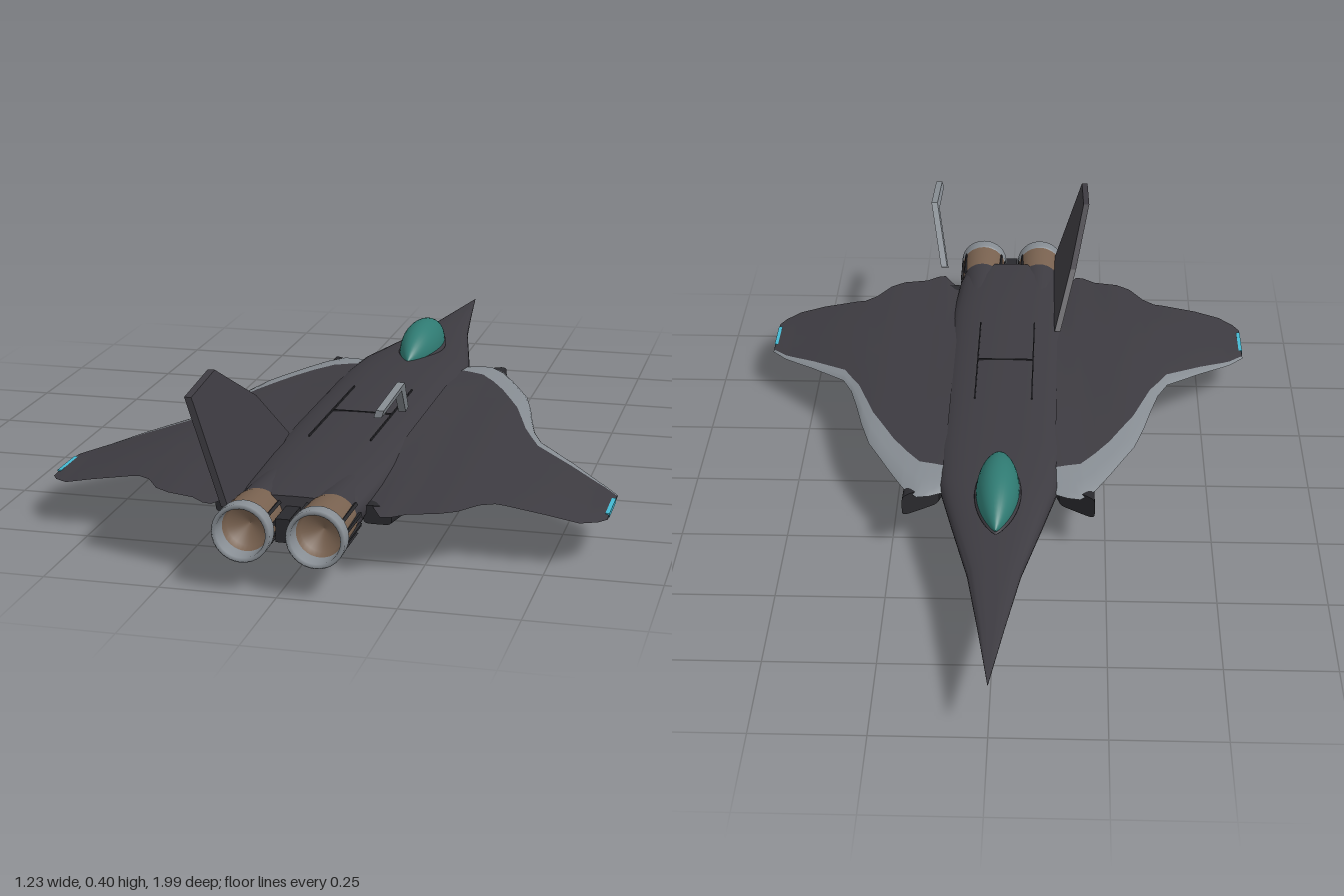
import * as THREE from 'three';
import { toCreasedNormals } from 'three/addons/utils/BufferGeometryUtils.js';

const mat = (name, color, side = THREE.FrontSide) => {
  const m = new THREE.MeshStandardMaterial({ color, side });
  m.name = name;
  return m;
};

// Surface through rows of points; every row has the same count
function loft(rows, flip = false, crease = 0.6) {
  const n = rows[0].length, idx = [];
  for (let r = 0; r < rows.length - 1; r++) {
    for (let i = 0; i < n - 1; i++) {
      const a = r * n + i, b = a + 1, c = a + n, d = c + 1;
      if (flip) idx.push(a, c, b, b, c, d);
      else idx.push(a, b, c, b, d, c);
    }
  }
  const g = new THREE.BufferGeometry();
  g.setAttribute('position', new THREE.Float32BufferAttribute(rows.flat(2), 3));
  g.setIndex(idx);
  return toCreasedNormals(g, crease);
}

// Rounded cross-section in the xy plane; p shapes the corners, skew slants it in z
function ring(z, cx, w, top, bottom, p, skew = 0, n = 32) {
  const pow = v => Math.sign(v) * Math.abs(v) ** p;
  const cy = (top + bottom) / 2, h = (top - bottom) / 2;
  return Array.from({ length: n + 1 }, (_, i) => {
    const a = (i % n) / n * Math.PI * 2;
    const dx = w * pow(Math.cos(a));
    return [cx + dx, cy + h * pow(Math.sin(a)), z + skew * dx];
  });
}

// Piecewise linear lookup
function lerpTable(table, x) {
  for (let i = 1; i < table.length; i++) {
    const [x0, y0] = table[i - 1], [x1, y1] = table[i];
    if (x <= x1) return y0 + (y1 - y0) * Math.max(0, (x - x0) / (x1 - x0));
  }
  return table[table.length - 1][1];
}

// Wing shape as functions of the distance from the centre line
const LEAD = [[.13, -.27], [.16, -.285], [.19, -.29], [.225, -.25], [.26, -.18], [.32, -.05], [.345, .04], [.365, .13], [.385, .21], [.41, .27], [.5, .36], [.58, .44], [.615, .485]];
const SEAM = [[.13, -.18], [.19, -.16], [.225, -.11], [.26, -.05], [.32, .08], [.365, .22], [.41, .315], [.5, .39], [.58, .455], [.615, .495]];
const TRAIL = [[.13, .78], [.15, .8], [.18, .86], [.2, .855], [.23, .83], [.29, .815], [.325, .79], [.36, .735], [.39, .712], [.5, .708], [.565, .70], [.6, .67], [.615, .645]];
const MID = [[.13, .138], [.2, .137], [.3, .139], [.37, .135], [.43, .129], [.52, .112], [.57, .1], [.615, .094]];
const HALF = [[.13, .03], [.2, .024], [.3, .016], [.43, .008], [.6, .005], [.615, .004]];

function wingPart(side, edgeStrip) {
  const xs = [...new Set([...LEAD, ...TRAIL].map(p => p[0]))].sort((a, b) => a - b);
  xs.push(.616);
  const rows = xs.map((x, k) => {
    const l = lerpTable(LEAD, x), s = lerpTable(SEAM, x), t = lerpTable(TRAIL, x);
    const h = k === xs.length - 1 ? 0 : lerpTable(HALF, x), y = lerpTable(MID, x);
    const pt = (z, up) => {
      const f = (z - l) / (t - l);
      const thick = Math.max(0, Math.min(1, Math.sqrt(Math.max(0, f) / .2), (1 - f) / .3));
      return [side * x, y + up * h * thick, z];
    };
    const zs = edgeStrip
      ? [0, .15, .5, 1].map(f => l + (s - l) * f)
      : [0, .2, .4, .6, .8, 1].map(f => s + (t - s) * f);
    const upper = zs.map(z => pt(z, 1)), lower = zs.map(z => pt(z, -1));
    // wrap around the leading edge for the strip, around the trailing edge for the panel
    return edgeStrip ? [...lower.reverse(), ...upper.slice(1)] : [...upper, ...lower.reverse().slice(1)];
  });
  return loft(rows, side < 0, .8);
}

// Canted plate from an outline of (z, y) points
function cantedPlate(outline, side, thickness) {
  const shape = new THREE.Shape(outline.map(([z, y]) => new THREE.Vector2(-z, y)));
  const g = new THREE.ExtrudeGeometry(shape, { depth: thickness, bevelEnabled: false });
  const p = g.attributes.position;
  for (let i = 0; i < p.count; i++) {
    const u = p.getX(i), y = p.getY(i), w = p.getZ(i);
    p.setXYZ(i, side * (.127 + (y - .163) * .32) + w - thickness / 2, y, -u);
  }
  g.computeVertexNormals();
  return g;
}

export function createModel() {
  const model = new THREE.Group();
  const hull = mat('charcoal hull', 0x3d3b41);
  const dark = mat('dark fittings', 0x29292d);
  const grey = mat('light grey edge', 0x868c92, THREE.DoubleSide);
  const teal = mat('teal canopy', 0x2f7a72);
  const copper = mat('burnt copper', 0x78614f, THREE.DoubleSide);
  const cyan = mat('cyan light', 0x45b9d2);

  const add = (name, geo, material, x = 0, y = 0, z = 0, parent = model) => {
    const m = new THREE.Mesh(geo, material);
    m.name = name;
    m.position.set(x, y, z);
    parent.add(m);
    return m;
  };
  const box = (name, w, h, d, material, x, y, z) =>
    add(name, new THREE.BoxGeometry(w, h, d), material, x, y, z);

  // Fuselage with needle nose: z, half width, top, bottom
  const body = [[-1, 0, .132, .132], [-.8, .029, .143, .122], [-.6, .06, .153, .112], [-.4, .105, .165, .102],
    [-.25, .138, .175, .095], [-.1, .15, .181, .088], [.3, .152, .183, .085], [.6, .15, .182, .085],
    [.8, .137, .178, .088], [.87, .125, .172, .095], [.87, 0, .13, .13]];
  add('fuselage', loft(body.map(([z, w, t, b]) => ring(z, 0, w, t, b, .75))), hull);

  // Canopy: pointed lens
  const lens = [];
  for (let i = 0; i <= 24; i++) {
    const t = i / 12 - 1;
    lens.push(new THREE.Vector2(Math.max(0, 1 - t * t) ** .85, t));
  }
  const canopyGeo = new THREE.LatheGeometry(lens, 32);
  canopyGeo.rotateX(Math.PI / 2).scale(.05, .063, .168);
  add('canopy', canopyGeo, teal, 0, .177, -.322);
  add('canopySill', canopyGeo.clone().scale(1.08, .35, 1.03), hull, 0, .17, -.322);

  for (const s of [1, -1]) {
    // Wings with pale leading edges and tip lights
    add('wing', wingPart(s, false), hull);
    add('wingLeadingEdge', wingPart(s, true), grey);
    box('wingTipLight', .009, .009, .1, cyan, s * .612, .095, .57);

    // Intake trunks under the wing roots
    const trunk = [[-.265, 0, .13, .09], [-.265, .042, .142, .088], [-.1, .06, .14, .08], [.3, .06, .14, .078],
      [.6, .055, .14, .085], [.8, .03, .14, .1], [.8, 0, .12, .12]];
    add('intakeTrunk', loft(trunk.map(([z, w, t, b]) =>
      ring(z, s * (z < -.2 ? .182 : .16), w, t, b, .35, z < -.2 ? -s * .7 : 0))), dark);
    box('bellyFitting', .02, .02, .05, dark, s * .133, .073, .1);

    // Engine: housing, copper nozzle, pale rim, petals
    const engine = new THREE.Group();
    engine.name = 'engine';
    engine.position.set(s * .078, .125, 0);
    model.add(engine);
    const turn = (name, pts, material) => {
      const g = new THREE.LatheGeometry(pts.map(p => new THREE.Vector2(...p)), 32);
      add(name, g.rotateX(Math.PI / 2), material, 0, 0, 0, engine);
    };
    turn('housing', [[.03, .6], [.05, .7], [.054, .86]], hull);
    turn('nozzle', [[.05, .83], [.056, .87], [.059, .955]], copper);
    turn('nozzleRim', [[.059, .95], [.062, .955], [.062, .985], [.058, .99], [.052, .985], [.05, .95]], grey);
    turn('nozzleInterior', [[.051, .955], [.046, .93], [0, .915]], copper);
    for (let i = 0; i < 16; i++) {
      const a = (i + .5) / 16 * Math.PI * 2;
      if (Math.sin(a) > .8) continue;
      const petal = add('petal', new THREE.BoxGeometry(.006, .007, .11), dark,
        Math.cos(a) * .058, Math.sin(a) * .058, .9, engine);
      petal.rotation.z = a;
    }
  }
  box('tailBoom', .03, .05, .12, dark, 0, .125, .89);

  // Canted tail fin on one side, bare edge trim on the other
  const fin = [[.47, .175], [.59, .295], [.77, .4], [.935, .388], [.935, .16], [.6, .16]];
  add('tailFin', cantedPlate(fin, -1, .015), hull);
  const trim = [[.595, .295], [.77, .4], [.935, .388], [.935, .373], [.775, .383], [.608, .287]];
  add('finEdgeTrim', cantedPlate(trim, 1, .016), grey);

  // Open equipment bay slung below the belly
  box('bayTray', .2, .012, .23, dark, 0, .006, -.03);
  box('bayFrontWall', .2, .05, .012, dark, 0, .03, -.138);
  box('bayBlock', .17, .045, .12, dark, 0, .038, -.03);
  box('bayUpperPlate', .2, .01, .1, dark, 0, .055, .02);
  box('bayRail', .13, .004, .006, grey, 0, .05, .073);
  for (const s of [1, -1]) {
    box('baySide', .01, .052, .14, dark, s * .095, .032, -.02);
    box('bayStrut', .014, .06, .014, dark, s * .08, .07, -.13);
    const hinge = add('bayHinge', new THREE.SphereGeometry(.011, 16, 12), dark, s * .08, .08, -.16);
    hinge.scale.z = 1.3;
  }
  add('bayRod', new THREE.CylinderGeometry(.003, .003, .23, 10).rotateX(Math.PI / 2), dark, 0, .055, .11);
  box('bellyPylon', .06, .04, .1, dark, 0, .075, -.02);

  // Sensor under the nose
  add('noseSensor', new THREE.CapsuleGeometry(.006, .1, 6, 12).rotateX(Math.PI / 2), grey, 0, .088, -.465);
  add('noseSensorBall', new THREE.SphereGeometry(.013, 16, 12), dark, 0, .08, -.415);
  box('noseSensorMount', .008, .025, .03, dark, 0, .098, -.45);

  // Panel seams on the upper deck
  for (const s of [1, -1]) box('deckSeam', .003, .004, .4, dark, s * .07, .1825, .3);
  box('crossSeam', .14, .004, .003, dark, 0, .1825, .3);

  return model;
}
